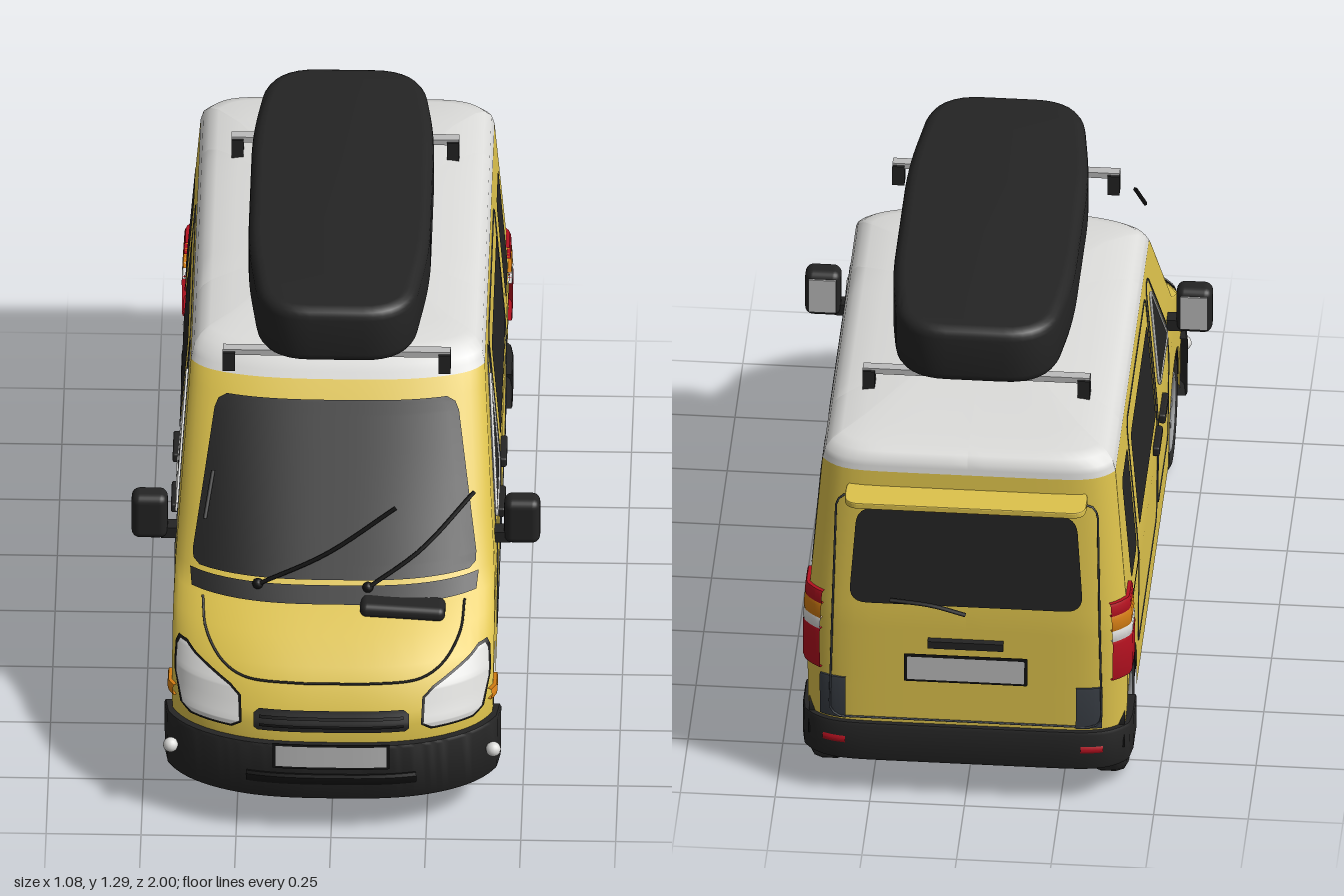
import * as THREE from 'three';
import { toCreasedNormals } from 'three/addons/utils/BufferGeometryUtils.js';
import { RoundedBoxGeometry } from 'three/addons/geometries/RoundedBoxGeometry.js';

const mat = (name, color) => new THREE.MeshStandardMaterial({ name, color, side: THREE.DoubleSide });
const M = {
  paint: mat('yellow paint', 0xdec34c), white: mat('white', 0xdcdcda), black: mat('black plastic and glass', 0x242424),
  tyre: mat('tyre rubber', 0x2c2c2c), under: mat('underbody black', 0x131313), metal: mat('rim metal', 0x97999b),
  silver: mat('silver', 0xbcbcbc), red: mat('red lamp', 0xb3101f), amber: mat('amber lamp', 0xd27c12), slate: mat('slate grey', 0x3a3f46),
};

// Body rules by height: half width, front z, rear z and front curvature
const table = (rows) => (y) => {
  let i = 0;
  while (i < rows.length - 2 && y > rows[i + 1][0]) i++;
  const [a, b] = [rows[i], rows[i + 1]];
  return THREE.MathUtils.lerp(a[1], b[1], THREE.MathUtils.clamp((y - a[0]) / (b[0] - a[0]), 0, 1));
};
const W = table([[.12, .42], [.5, .424], [.59, .419], [.99, .387], [1.02, .379], [1.04, .362], [1.05, .338], [1.06, .28], [1.07, .15], [1.075, 0]]);
const F = table([[.12, .965], [.2, .975], [.34, .972], [.37, .955], [.42, .93], [.47, .885], [.52, .815], [.555, .74], [.59, .68], [.95, .35], [.99, .31], [1.02, .285], [1.04, .262], [1.05, .235], [1.06, .16], [1.07, -.05], [1.075, -.25]]);
const B = table([[.12, -.96], [.555, -.948], [.99, -.905], [1.02, -.9], [1.04, -.885], [1.05, -.86], [1.06, -.78], [1.07, -.55], [1.075, -.25]]);
const D = table([[.12, .12], [.52, .12], [.59, .1], [.95, .06], [1.05, .05], [1.075, 0]]);
const frontZ = (x, y) => {
  const w = W(y), u = Math.min(1, Math.abs(x) / Math.max(w, 1e-4));
  return F(y) - D(y) * u ** 3 - .03 * w / .42 * u ** 16;
};
const zFront = (y) => F(y) - D(y) - .03 * W(y) / .42;
const zRear = (y) => B(y) + .06 * W(y) / .42;

// Plan outline: |t| 0..1 nose, 1..2 side, 2..3 tail; t past 3 wraps to the other side
function outline(y, t) {
  if (t > 3) t -= 6;
  const s = Math.sign(t), a = Math.abs(t), w = W(y);
  if (a <= 1) return [s * w * a, frontZ(w * a, y)];
  if (a <= 2) return [s * w, THREE.MathUtils.lerp(zFront(y), zRear(y), a - 1)];
  return [s * w * (3 - a), B(y) + .06 * w / .42 * (3 - a) ** 10];
}
function offsetPoint(y, t, off) {
  const [x, z] = outline(y, t), e = .012, p = outline(y, t - e), q = outline(y, t + e);
  const dx = q[0] - p[0], dz = q[1] - p[1], l = Math.hypot(dx, dz) || 1;
  return [x - dz / l * off, y, z + dx / l * off];
}

// Grid surface from a point rule
function grid(nu, nv, fn) {
  const pos = [], idx = [];
  for (let j = 0; j <= nv; j++) for (let i = 0; i <= nu; i++) pos.push(...fn(i, j));
  for (let j = 0; j < nv; j++) for (let i = 0; i < nu; i++) {
    const a = j * (nu + 1) + i, b = a + nu + 1;
    idx.push(a, a + 1, b, a + 1, b + 1, b);
  }
  const g = new THREE.BufferGeometry();
  g.setAttribute('position', new THREE.Float32BufferAttribute(pos, 3));
  g.setIndex(idx);
  g.computeVertexNormals();
  return g;
}
// Polygon with rounded corners
function roundedShape(pts, r) {
  const s = new THREE.Shape(), V = pts.map((p) => new THREE.Vector2(...p)), n = V.length;
  V.forEach((p, i) => {
    const step = (q) => p.clone().add(q.clone().sub(p).setLength(Math.min(r, q.distanceTo(p) * .45)));
    const a = step(V[(i + n - 1) % n]), b = step(V[(i + 1) % n]);
    if (i) s.lineTo(a.x, a.y); else s.moveTo(a.x, a.y);
    s.quadraticCurveTo(p.x, p.y, b.x, b.y);
  });
  s.closePath();
  return s;
}
const rect = (x0, x1, y0, y1) => [[x0, y0], [x1, y0], [x1, y1], [x0, y1]];

export function createModel() {
  const root = new THREE.Group();
  root.name = 'camperVan';
  const add = (name, geo, m, x = 0, y = 0, z = 0, parent = root) => {
    const mesh = new THREE.Mesh(geo, m);
    mesh.name = name;
    mesh.position.set(x, y, z);
    parent.add(mesh);
    return mesh;
  };
  const box = (name, m, x0, x1, y0, y1, z0, z1, r = 0) => {
    const d = [Math.abs(x1 - x0), y1 - y0, z1 - z0];
    return add(name, r ? new RoundedBoxGeometry(...d, 3, r) : new THREE.BoxGeometry(...d), m, (x0 + x1) / 2, (y0 + y1) / 2, (z0 + z1) / 2);
  };
  const tube = (name, m, pts, r, n = 12) => add(name, new THREE.TubeGeometry(
    new THREE.CatmullRomCurve3(pts.map((p) => new THREE.Vector3(...p))), n, r, 5), m);

  // Painted shell with wheel arches, then the white roof
  const R = .175, axleY = .165, axles = [.63, -.755];
  const half = [0, .12, .25, .38, .5, .6, .7, .78, .85, .9, .94, .97, 1];
  const side = [];
  for (const zc of axles) {
    for (let k = 0; k <= 20; k++) side.push(zc + R * Math.cos(k * Math.PI / 20));
    side.push(zc + R * 1.003, zc - R * 1.003);
  }
  for (let z = -.5; z < .4; z += .15) side.push(z);
  const tSide = side.map((z) => 1 + (zFront(.2) - z) / (zFront(.2) - zRear(.2))).filter((t) => t > 1 && t < 2);
  const tRear = half.map((u) => 3 - u);
  const pos = [...half, ...tSide, ...tRear].sort((a, b) => a - b);
  const ts = [...pos.slice(1).reverse().map((t) => -t), ...pos];
  const sill = ts.map((t) => {
    const z = outline(.2, t)[1];
    if (Math.abs(t) < 1 || Math.abs(t) > 2) return .12;
    return Math.max(.12, ...axles.map((c) => Math.abs(z - c) <= R * 1.001 ? axleY + Math.sqrt(Math.max(0, R * R - (z - c) ** 2)) : 0));
  });
  const loft = (levels) => grid(ts.length - 1, levels.length - 1, (i, j) => {
    const y = Math.max(levels[j], sill[i]), [x, z] = outline(y, ts[i]);
    return [x, y, z];
  });
  add('bodyShell', loft([.12, .2, .27, .34, .37, .42, .47, .52, .555, .59, .7, .82, .95, .99]), M.paint);
  add('roof', loft([.99, 1.005, 1.02, 1.04, 1.05, 1.06, 1.07, 1.075]), M.white);

  // Bands that wrap around the outline: bumpers and lamps
  const band = (name, m, t0, t1, y0, y1, off, n = 40) => {
    const rows = [[y0, -.01], [y0, off * .8], [y0 + .008, off], [y1 - .008, off], [y1, off * .8], [y1, -.01]];
    return add(name, toCreasedNormals(grid(n, 5, (i, j) => offsetPoint(rows[j][0], t0 + (t1 - t0) * i / n, rows[j][1])), .6), m);
  };
  band('frontBumper', M.black, -1.02, 1.02, .115, .29, .022, 60);
  band('frontBumperSlot', M.under, -.52, .52, .165, .2, .026);
  band('rearBumper', M.black, 1.93, 4.07, .115, .228, .016, 80);
  for (const [a, b] of [[1.95, 2.1], [3.9, 4.05]]) {
    band('tailLampTop', M.red, a, b, .578, .615, .012, 16);
    band('tailLampAmber', M.amber, a, b, .533, .578, .012, 16);
    band('tailLampWhite', M.white, a, b, .5, .533, .012, 16);
    band('tailLampBottom', M.red, a, b, .38, .5, .012, 16);
  }
  for (const [a, b] of [[2.12, 2.28], [3.72, 3.88]]) {
    band('rearCornerPanel', M.slate, a - .03, b - .03, .235, .36, .006, 12);
    band('rearReflector', M.red, a, b - .03, .165, .185, .02, 10);
  }
  for (const s of [-1, 1]) band('turnSignal', M.amber, s > 0 ? .97 : -1.03, s > 0 ? 1.03 : -.97, .345, .368, .012, 8);

  // Panels that follow the nose, given as rows of [y, x0, x1]
  const frontPatch = (name, m, rows, off) => {
    const sub = 4, n = (rows.length - 1) * sub;
    return add(name, grid(24, n, (i, j) => {
      const k = Math.min(rows.length - 2, Math.floor(j / sub)), f = j / sub - k;
      const [y, a, b] = rows[k].map((v, c) => THREE.MathUtils.lerp(v, rows[k + 1][c], f));
      const x = a + (b - a) * i / 24;
      return [x, y + off * .5, frontZ(x, y) + off];
    }), m);
  };
  const sym = (rows) => rows.map(([y, x]) => [y, -x, x]);
  frontPatch('windscreen', M.black, sym([[.6, .355], [.61, .372], [.63, .373], [.92, .322], [.94, .312], [.952, .29]]), .007);
  frontPatch('cowl', M.black, sym([[.562, .375], [.59, .38]]), .008);
  frontPatch('grille', M.black, sym([[.322, .195], [.33, .205], [.365, .205], [.377, .19]]), .008);
  for (const y of [.338, .358]) frontPatch('grilleSlat', M.under, sym([[y - .004, .19], [y + .004, .19]]), .012);
  frontPatch('plateFrame', M.under, sym([[.208, .154], [.286, .154]]), .025);
  frontPatch('frontPlate', M.silver, sym([[.215, .146], [.279, .146]]), .028);
  const lamp = [[.325, .265, .37], [.34, .242, .395], [.4, .245, .412], [.42, .268, .413], [.46, .36, .41], [.475, .385, .402]];
  const lampRim = [[.319, .262, .374], [.337, .236, .4], [.402, .239, .416], [.424, .265, .417], [.465, .358, .414], [.48, .383, .406]];
  for (const s of [-1, 1]) {
    frontPatch('headlightRim', M.under, lampRim.map(([y, a, b]) => [y, s * a, s * b]), .005);
    frontPatch('headlight', M.white, lamp.map(([y, a, b]) => [y, s * a, s * b]), .009);
    add('fogLamp', new THREE.SphereGeometry(.02, 14, 10), M.white, s * .425, .212, .885);
  }
  const onNose = (x, y, off = .003) => [x, y + off * .5, frontZ(x, y) + off];
  tube('bonnetSeam', M.black, [[-.345, .553], [-.335, .51], [-.29, .465], [-.23, .442], [-.1, .438], [0, .438], [.1, .438], [.23, .442], [.29, .465], [.335, .51], [.345, .553]].map((p) => onNose(...p)), .0035, 60);
  for (const [a, b] of [[[-.2, .588], [.16, .742]], [[.09, .588], [.365, .75]]]) {
    const mid = [(a[0] + b[0]) / 2, (a[1] + b[1]) / 2 - .012];
    tube('wiper', M.under, [a, mid, b].map((p) => onNose(...p, .02)), .006);
    add('wiperPivot', new THREE.SphereGeometry(.015, 10, 8), M.under, ...onNose(...a, .012));
  }
  const scoop = box('bonnetIntake', M.black, .07, .295, .535, .575, .69, .765, .018);
  scoop.rotation.z = -.06;
  tube('aerialRod', M.under, [[-.34, .795, .675], [-.33, .845, .635], [-.32, .895, .595]], .006);

  // Flat plates and seams on the sides (points are z, y) and on the tail (points are x, y)
  const plate = (name, m, pts, r, place) => {
    const g = new THREE.ShapeGeometry(roundedShape(pts, r), 6), p = g.attributes.position;
    for (let i = 0; i < p.count; i++) p.setXYZ(i, ...place(p.getX(i), p.getY(i)));
    g.computeVertexNormals();
    return add(name, g, m);
  };
  const seam = (name, m, pts, r, place, width = .003) =>
    tube(name, m, roundedShape(pts, r).getSpacedPoints(90).map((p) => place(p.x, p.y)), width, 140);
  const doorGlass = [[.375, .59], [.125, .59], [.125, .9]];
  for (const s of [-1, 1]) {
    const at = (off) => (z, y) => [s * (W(y) + off), y, z];
    plate('frontDoorWindow', M.black, doorGlass, .03, at(.004));
    seam('frontWindowTrim', M.white, doorGlass, .03, at(.004), .004);
    plate('middleWindow', M.black, rect(-.52, 0, .585, .88), .03, at(.004));
    plate('rearSideWindow', M.black, rect(-.775, -.605, .588, .905), .035, at(.004));
    seam('frontDoorSeam', M.slate, [[.4, .245], [.075, .245], [.068, .945], [.12, .945], [.4, .6]], .035, at(0));
    seam('slidingDoorSeam', M.slate, rect(-.555, .04, .235, .94), .035, at(0));
    plate('slideRail', M.black, rect(-.8, -.56, .53, .545), .003, at(.005));
    for (const [z, y] of [[.165, .497], [-.025, .522]]) box('doorHandle', M.black, s * .42, s * .44, y - .014, y + .014, z - .055, z + .055, .006);
    // Wing mirror
    box('mirrorHousing', M.black, s * .443, s * .538, .572, .708, .402, .468, .022);
    box('mirrorArm', M.black, s * .4, s * .46, .572, .605, .415, .455);
    box('mirrorGlass', M.silver, s * .455, s * .527, .59, .692, .398, .403);
  }
  const tail = (off) => (x, y) => [x, y, B(y) - off];
  seam('tailgateSeam', M.slate, [[-.36, .24], [.36, .24], [.345, .92], [-.345, .92]], .04, tail(.001));
  plate('rearWindow', M.black, [[-.31, .6], [.31, .6], [.29, .885], [-.29, .885]], .05, tail(.006));
  plate('rearPlateFrame', M.under, rect(-.163, .163, .362, .448), .004, tail(.005));
  plate('rearPlate', M.silver, rect(-.155, .155, .37, .44), .004, tail(.008));
  box('tailgateHandle', M.black, -.1, .1, .475, .497, -.968, -.945);
  tube('rearWiper', M.under, [[0, .585, -.965], [.09, .61, -.965], [.2, .62, -.962]], .006);
  const lip = new THREE.ExtrudeGeometry(roundedShape(rect(-.315, .315, .89, .992), .035), { depth: .012, bevelSize: .004, bevelThickness: .003, bevelSegments: 2 });
  add('rearSpoiler', lip.rotateX(-Math.PI / 2).scale(1, 1, 1), M.paint, 0, .932, 0);
  box('brakeLight', M.red, -.1, .1, .916, .93, -.975, -.962);

  // Roof box on its bars
  const plan = roundedShape([[-.17, -.4], [.17, -.4], [.21, -.1], [.21, .4], [.175, .65], [-.175, .65], [-.21, .4], [-.21, -.1]], .1);
  const cargo = new THREE.ExtrudeGeometry(plan, { depth: .11, bevelSize: .03, bevelThickness: .03, bevelSegments: 4, curveSegments: 8 });
  add('roofBox', toCreasedNormals(cargo.rotateX(-Math.PI / 2), .7), M.black, 0, 1.155, 0);
  for (const z of [.35, -.605]) {
    box('roofBar', M.silver, -.3, .3, 1.103, 1.12, z - .013, z + .013);
    for (const s of [-1, 1]) box('roofBarFoot', M.black, s * .268, s * .3, 1.055, 1.114, z - .02, z + .02);
  }
  tube('roofAerial', M.under, [[0, 1.07, -.44], [0, 1.09, -.46], [0, 1.11, -.49]], .004);
  add('aerialBase', new THREE.SphereGeometry(.013, 10, 8), M.under, 0, 1.078, -.445);

  // Underbody
  box('floor', M.under, -.412, .412, .12, .14, -.575, .45);
  box('frontDeck', M.under, -.29, .29, .2, .22, .44, .88);
  box('rearDeck', M.under, -.29, .29, .2, .22, -.93, -.57);
  box('frontSubframe', M.under, -.2, .2, .13, .17, .56, .7);
  for (const x of [-.2, .2]) box('chassisRail', M.under, x - .02, x + .02, .14, .2, -.93, -.57);
  box('rearCrossmember', M.under, -.3, .3, .14, .19, -.9, -.86);
  add('exhaustSilencer', new THREE.CylinderGeometry(.032, .032, .16, 16).rotateX(Math.PI / 2), M.metal, -.19, .132, -.6);

  // Wheels, axles and arch liners
  const tyre = [[.1, -.045], [.14, -.05], [.157, -.04], [.164, -.02], [.164, .02], [.157, .04], [.14, .05], [.112, .045], [.106, .02]].map((p) => new THREE.Vector2(...p));
  const turn = (g) => g.rotateZ(-Math.PI / 2);
  for (const z of axles) {
    add('axle', turn(new THREE.CylinderGeometry(.02, .02, .66, 12)), M.under, 0, axleY, z);
    for (const s of [-1, 1]) {
      const wheel = new THREE.Group();
      wheel.name = 'wheel';
      wheel.position.set(s * .368, .164, z);
      if (s < 0) wheel.rotation.y = Math.PI;
      root.add(wheel);
      add('tyre', turn(new THREE.LatheGeometry(tyre, 40)), M.tyre, 0, 0, 0, wheel);
      add('wheelBack', turn(new THREE.CylinderGeometry(.106, .106, .04, 32)), M.slate, -.01, 0, 0, wheel);
      add('brakeDisc', turn(new THREE.CylinderGeometry(.06, .06, .02, 24)), M.metal, -.04, 0, 0, wheel);
      add('rimRing', new THREE.TorusGeometry(.104, .008, 8, 36).rotateY(Math.PI / 2), M.metal, .04, 0, 0, wheel);
      add('hub', turn(new THREE.CylinderGeometry(.02, .026, .03, 16)), M.metal, .026, 0, 0, wheel);
      for (let k = 0; k < 10; k++) {
        const spoke = new THREE.BoxGeometry(.014, .085, .02).translate(.032, .062, 0);
        add('spoke', spoke.rotateX(k * Math.PI / 5), M.metal, 0, 0, 0, wheel);
      }
      add('archLiner', turn(new THREE.CylinderGeometry(R + .002, R + .002, .13, 28, 1, true, Math.PI, Math.PI)), M.under, s * .352, axleY, z);
    }
  }
  return root;
}
